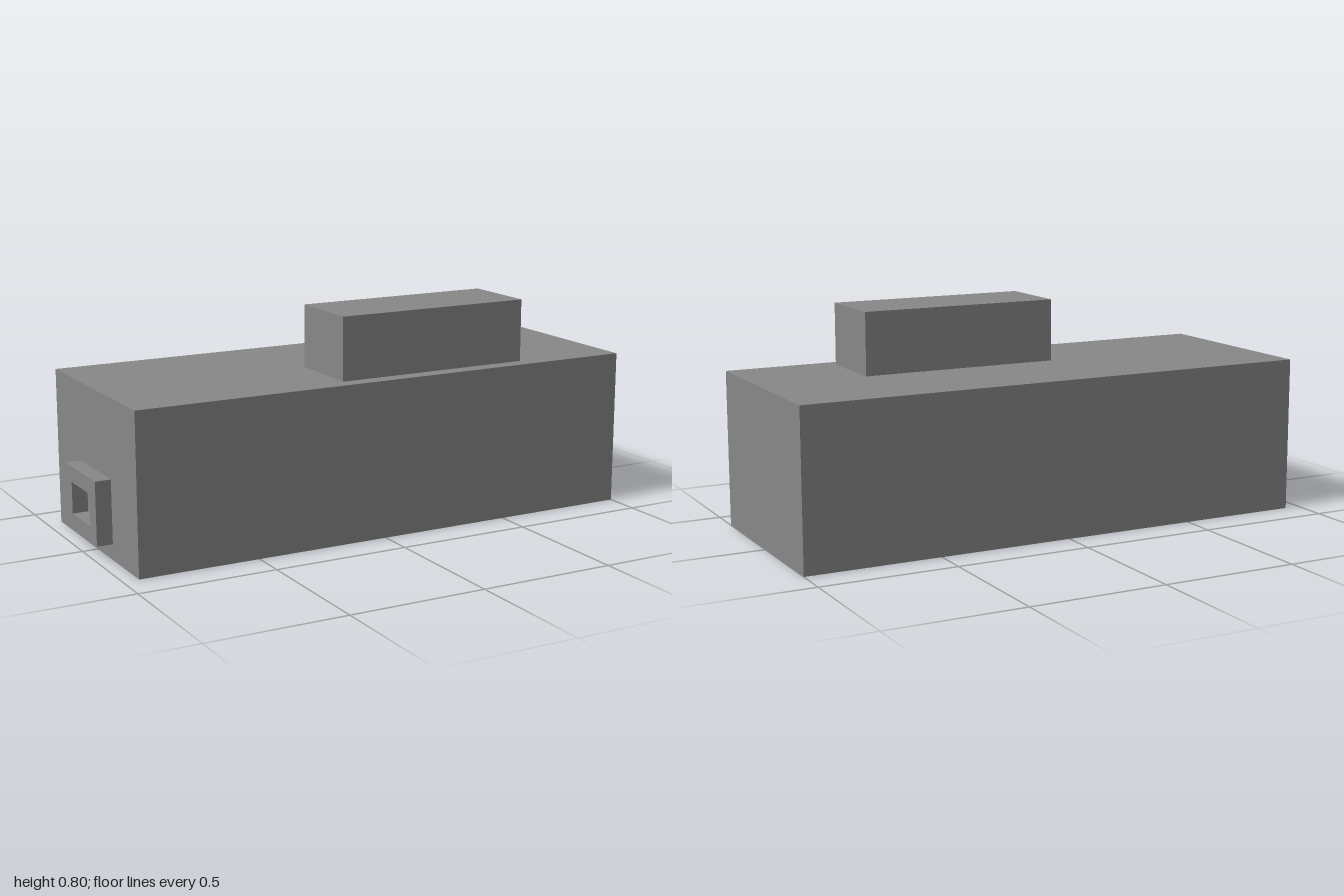
import * as THREE from 'three';

const U = 2 / 35; // modelling unit: overall length is 35 units

export function createModel() {
  const group = new THREE.Group();
  const grey = new THREE.MeshStandardMaterial({ color: 0x888888 });
  grey.name = 'grey';

  const add = (name, geometry, x, y, z) => {
    const mesh = new THREE.Mesh(geometry, grey);
    mesh.name = name;
    mesh.position.set(x * U, y * U, z * U);
    group.add(mesh);
    return mesh;
  };
  const box = (w, h, d) => new THREE.BoxGeometry(w * U, h * U, d * U);

  // Main block and the smaller block set toward the front on its top
  add('body', box(34, 10, 13), 0.5, 5, 0);
  add('topBlock', box(13, 4, 5), 4, 12, 3);

  // Rectangular frame on the right end, open through to the body
  const rect = (path, w, h) => {
    path.moveTo(-w / 2, -h / 2);
    path.lineTo(w / 2, -h / 2);
    path.lineTo(w / 2, h / 2);
    path.lineTo(-w / 2, h / 2);
    path.closePath();
    return path;
  };
  const outline = rect(new THREE.Shape(), 5 * U, 4 * U);
  outline.holes.push(rect(new THREE.Path(), 3 * U, 2 * U));
  const frame = new THREE.ExtrudeGeometry(outline, { depth: U, bevelEnabled: false });
  frame.rotateY(-Math.PI / 2);
  add('endFrame', frame, -16.5, 3, 0);

  return group;
}
